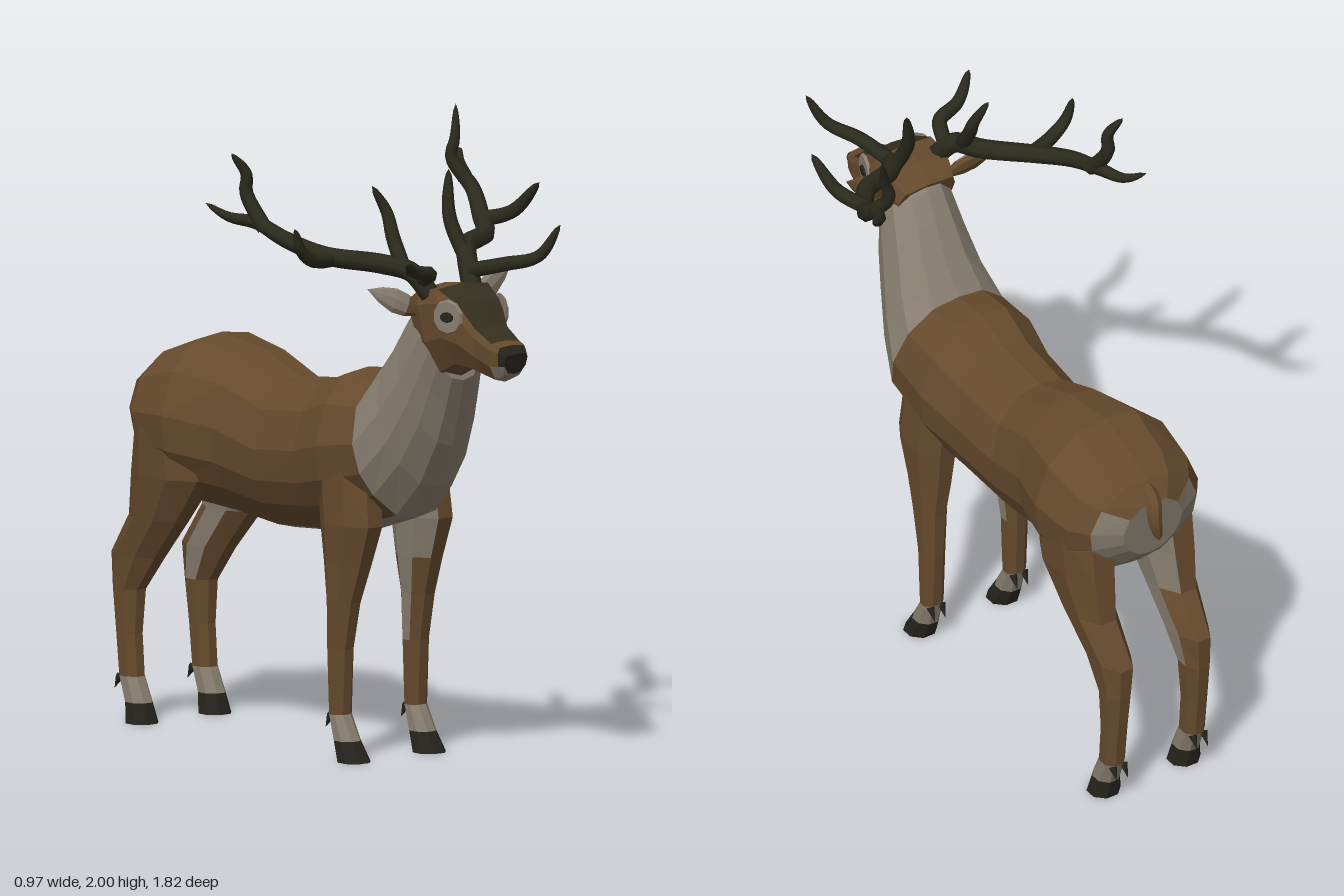
import * as THREE from 'three';

const mat = (name, color, extra = {}) => {
  const m = new THREE.MeshStandardMaterial({ color, ...extra });
  m.name = name;
  return m;
};

// Skin between closed rings of points; paint(i, j) picks a material index per quad
// (i = -1 is the start cap, i = rings.length - 1 the end cap).
function loft(name, rings, mats, paint) {
  const buckets = mats.map(() => []);
  const put = (i, j, ...pts) => pts.forEach(p => buckets[paint(i, j)].push(p.x, p.y, p.z));
  const n = rings[0].length, last = rings.length - 1;
  const centre = r => r.reduce((s, p) => s.add(p), new THREE.Vector3()).divideScalar(n);
  const c0 = centre(rings[0]), c1 = centre(rings[last]);
  for (let j = 0; j < n; j++) {
    const k = (j + 1) % n;
    put(-1, j, c0, rings[0][j], rings[0][k]);
    put(last, j, c1, rings[last][k], rings[last][j]);
    for (let i = 0; i < last; i++) {
      const a = rings[i][j], b = rings[i][k], c = rings[i + 1][k], d = rings[i + 1][j];
      put(i, j, a, d, c, a, c, b);
    }
  }
  const geo = new THREE.BufferGeometry();
  geo.setAttribute('position', new THREE.Float32BufferAttribute(buckets.flat(), 3));
  let start = 0;
  buckets.forEach((b, m) => {
    if (b.length) geo.addGroup(start, b.length / 3, m);
    start += b.length / 3;
  });
  geo.computeVertexNormals();
  const mesh = new THREE.Mesh(geo, mats);
  mesh.name = name;
  return mesh;
}

// Upright ring from a mirrored half profile: [x, topZ, topY, bottomZ, bottomY, halfWidth]
function section(half, [x, tz, ty, bz, by, w]) {
  const mirrored = half.slice(1, -1).reverse().map(([u, v]) => [-u, v]);
  return [...half, ...mirrored].map(([u, v]) => new THREE.Vector3(
    x + u * w, (ty + by) / 2 + v * (ty - by) / 2, (tz + bz) / 2 + v * (tz - bz) / 2));
}

// Tube along points that thins out and ends in a blunt rounded tip
function taperedTube(name, points, radius, material) {
  const curve = new THREE.CatmullRomCurve3(points.map(p => new THREE.Vector3(...p)));
  const steps = points.length * 5, sides = 7;
  const geo = new THREE.TubeGeometry(curve, steps, radius, sides);
  const pos = geo.attributes.position, v = new THREE.Vector3();
  for (let i = 0; i <= steps; i++) {
    const t = i / steps, c = curve.getPointAt(t);
    const s = (1 - 0.45 * t * t) * Math.sqrt(1 - t ** 8);
    for (let j = 0; j <= sides; j++) {
      const id = i * (sides + 1) + j;
      v.fromBufferAttribute(pos, id).sub(c).multiplyScalar(s).add(c);
      pos.setXYZ(id, v.x, v.y, v.z);
    }
  }
  const mesh = new THREE.Mesh(geo, material);
  mesh.name = name;
  return mesh;
}

export function createModel() {
  const model = new THREE.Group();
  model.name = 'stag';
  const brown = mat('brown coat', 0x664a2d, { flatShading: true });
  const pale = mat('pale coat', 0x877d6f, { flatShading: true });
  const dark = mat('dark face', 0x352f1d, { flatShading: true });
  const horn = mat('antler', 0x2a2a1d);
  const black = mat('nose and hoof', 0x25231b, { flatShading: true });
  const coat = [brown, pale, dark, black];

  // Torso and neck, rump to throat
  const bodyHalf = [[0, 1], [0.42, 0.95], [0.82, 0.62], [1, 0.12], [0.95, -0.3], [0.75, -0.62], [0.38, -0.93], [0, -1]];
  const bodyRings = [
    [0, -0.845, 1.09, -0.82, 0.88, 0.11],
    [0, -0.795, 1.145, -0.765, 0.82, 0.20],
    [0, -0.73, 1.185, -0.70, 0.765, 0.247],
    [0, -0.57, 1.245, -0.55, 0.705, 0.26],
    [0, -0.37, 1.215, -0.40, 0.69, 0.205],
    [0, -0.2, 1.15, -0.22, 0.67, 0.19],
    [0, 0, 1.17, 0, 0.685, 0.20],
    [0, 0.13, 1.22, 0.14, 0.70, 0.224],
    [0, 0.255, 1.21, 0.36, 0.77, 0.216],
    [0, 0.33, 1.31, 0.46, 0.88, 0.182],
    [-0.01, 0.40, 1.41, 0.54, 1.02, 0.153],
    [-0.02, 0.46, 1.48, 0.59, 1.15, 0.135],
    [-0.035, 0.52, 1.525, 0.625, 1.24, 0.115],
  ];
  model.add(loft('torso and neck', bodyRings.map(r => section(bodyHalf, r)), coat, (i, j) => {
    const level = Math.min(j, 13 - j);
    if (i >= 8 || i < 0) return 1;
    if (i === 0) return level < 2 ? 0 : 1;
    return level >= (i === 1 ? 4 : i === 2 ? 5 : 6) ? 1 : 0;
  }));

  // Head with dark forehead, pale chin and black nose
  const headHalf = [[0, 1], [0.86, 0.92], [1, 0.6], [0.95, -0.2], [0.6, -0.85], [0, -1]];
  const headRings = [
    [-0.035, 0.47, 1.50, 0.55, 1.28, 0.105],
    [-0.04, 0.54, 1.54, 0.61, 1.25, 0.125],
    [-0.045, 0.63, 1.55, 0.68, 1.285, 0.12],
    [-0.05, 0.71, 1.51, 0.74, 1.285, 0.10],
    [-0.055, 0.775, 1.435, 0.79, 1.275, 0.074],
    [-0.058, 0.85, 1.395, 0.85, 1.265, 0.066],
    [-0.06, 0.885, 1.385, 0.88, 1.28, 0.058],
    [-0.06, 0.91, 1.36, 0.895, 1.295, 0.045],
  ];
  model.add(loft('head', headRings.map(r => section(headHalf, r)), coat, (i, j) => {
    const level = Math.min(j, 9 - j);
    if (i >= 6) return i === 6 && level >= 3 ? 1 : 3;
    if (i === 5 && level >= 3) return 1;
    return i >= 2 && i < 5 && level === 0 ? 2 : 0;
  }));

  // Eyes: pale patch with a dark almond eye
  for (const s of [1, -1]) {
    const eye = new THREE.Group();
    eye.name = s > 0 ? 'left eye' : 'right eye';
    [[0.056, 1, 0, pale, 'eye patch'], [0.025, 0.7, 0.006, black, 'eyeball']].forEach(([r, squash, out, m, name]) => {
      const disc = new THREE.Mesh(new THREE.CylinderGeometry(r * 0.9, r, 0.009, 10), m);
      disc.name = name;
      disc.rotation.x = Math.PI / 2;
      disc.scale.z = squash;
      disc.position.z = out;
      eye.add(disc);
    });
    eye.position.set(-0.048 + s * 0.109, 1.459, 0.69);
    eye.rotation.y = s * (Math.PI / 2 - 0.28);
    model.add(eye);
  }

  // Leaf-shaped ears: brown base and back, pale inside
  const leaf = [[0.018, 0], [0.036, 0.045], [0.04, 0.09], [0.026, 0.14], [0, 0.19]].map(p => new THREE.Vector2(...p));
  const ear = (name, base, tip) => {
    const group = new THREE.Group();
    group.name = name;
    const front = -Math.PI / 2, back = Math.PI / 2;
    [['inner ear', leaf.slice(1), front, pale], ['ear base', leaf.slice(0, 2), front, brown], ['outer ear', leaf, back, brown]]
      .forEach(([part, profile, phi, m]) => {
        const half = new THREE.Mesh(new THREE.LatheGeometry(profile, 4, phi, Math.PI), m);
        half.name = part;
        half.scale.z = 0.45;
        group.add(half);
      });
    const a = new THREE.Vector3(...base), dir = new THREE.Vector3(...tip).sub(a).normalize();
    group.position.copy(a);
    group.quaternion.setFromUnitVectors(new THREE.Vector3(0, 1, 0), dir);
    model.add(group);
  };
  ear('left ear', [0.07, 1.47, 0.55], [0.24, 1.58, 0.545]);
  ear('right ear', [-0.14, 1.46, 0.53], [-0.3, 1.535, 0.48]);

  // Antlers: a beam followed by its tines
  const antlers = {
    left: [
      [[0.04, 1.51, 0.58], [0.07, 1.6, 0.52], [0.13, 1.63, 0.45], [0.245, 1.645, 0.4], [0.335, 1.67, 0.28], [0.39, 1.75, 0.17], [0.365, 1.84, 0.1], [0.38, 1.9, 0.1], [0.41, 2, 0.07]],
      [[0.05, 1.57, 0.56], [0.09, 1.6, 0.68], [0.15, 1.63, 0.77], [0.2, 1.73, 0.815]],
      [[0.08, 1.6, 0.5], [0.075, 1.72, 0.43], [0.105, 1.865, 0.39]],
      [[0.325, 1.67, 0.29], [0.375, 1.7, 0.38], [0.41, 1.8, 0.47]],
      [[0.385, 1.77, 0.15], [0.43, 1.81, 0.06], [0.485, 1.845, 0]],
    ],
    right: [
      [[-0.13, 1.51, 0.58], [-0.16, 1.58, 0.52], [-0.2, 1.6, 0.42], [-0.31, 1.62, 0.28], [-0.36, 1.66, 0.15], [-0.37, 1.7, 0.02], [-0.4, 1.71, -0.08], [-0.44, 1.75, -0.14]],
      [[-0.15, 1.56, 0.56], [-0.18, 1.59, 0.63], [-0.27, 1.61, 0.66], [-0.36, 1.65, 0.735]],
      [[-0.17, 1.58, 0.5], [-0.15, 1.68, 0.42], [-0.14, 1.75, 0.38], [-0.175, 1.835, 0.35]],
      [[-0.3, 1.61, 0.3], [-0.4, 1.62, 0.33], [-0.46, 1.66, 0.34], [-0.485, 1.73, 0.34]],
      [[-0.365, 1.68, 0.06], [-0.375, 1.79, -0.02], [-0.375, 1.85, -0.02], [-0.415, 1.915, -0.045]],
    ],
  };
  for (const [side, branches] of Object.entries(antlers)) {
    const group = new THREE.Group();
    group.name = side + ' antler';
    branches.forEach((pts, i) => group.add(
      taperedTube(i ? 'tine' : 'beam', pts, i ? 0.025 : 0.033, horn)));
    model.add(group);
  }

  // Legs, top to hoof: [x, y, frontZ, backZ, halfWidth]
  const legs = {
    front: [
      [0.135, 0.93, 0.31, 0.08, 0.075], [0.145, 0.75, 0.33, 0.10, 0.07], [0.147, 0.62, 0.285, 0.115, 0.058],
      [0.153, 0.5, 0.245, 0.13, 0.048], [0.155, 0.35, 0.215, 0.135, 0.04], [0.155, 0.145, 0.205, 0.145, 0.036],
      [0.155, 0.065, 0.25, 0.165, 0.04], [0.155, 0, 0.29, 0.19, 0.05],
    ],
    hind: [
      [0.145, 0.97, -0.49, -0.77, 0.1], [0.15, 0.8, -0.475, -0.79, 0.087], [0.15, 0.66, -0.585, -0.81, 0.067],
      [0.145, 0.53, -0.70, -0.905, 0.055], [0.148, 0.42, -0.785, -0.9, 0.045], [0.15, 0.28, -0.795, -0.885, 0.038],
      [0.15, 0.145, -0.785, -0.87, 0.037], [0.15, 0.065, -0.75, -0.84, 0.04], [0.15, 0, -0.73, -0.83, 0.05],
    ],
  };
  const flat = 1 / Math.cos(Math.PI / 8);
  for (const [end, rows] of Object.entries(legs)) for (const s of [1, -1]) {
    const name = `${end} ${s > 0 ? 'left' : 'right'} leg`;
    const rings = rows.map(([x, y, zf, zb, w]) => Array.from({ length: 8 }, (_, j) => {
      const a = (j + 0.5) * Math.PI / 4;
      return new THREE.Vector3(s * x + flat * w * Math.sin(a), y, (zf + zb) / 2 + flat * Math.cos(a) * (zf - zb) / 2);
    }));
    const n = rows.length;
    model.add(loft(name, rings, coat, (i, j) => {
      if (i >= n - 2) return 3;
      if (i === n - 3) return 1;
      const inward = -s * Math.sin((j + 1) * Math.PI / 4);
      return i < 4 && inward > (i < 2 ? 0.5 : 0.9) ? 1 : 0;
    }));
    // Dewclaws behind the pastern
    const [x, y, , zb] = rows[n - 3];
    for (const d of [-0.02, 0.02]) {
      const claw = new THREE.Mesh(new THREE.ConeGeometry(0.014, 0.05, 5), black);
      claw.name = 'dewclaw';
      claw.position.set(s * x + d, y - 0.025, zb - 0.005);
      claw.rotation.x = -2.6;
      model.add(claw);
    }
  }

  // Tail
  model.add(taperedTube('tail', [[0, 1.11, -0.79], [0.01, 1.095, -0.85], [0.02, 1.05, -0.872], [0.01, 0.97, -0.885]], 0.028, brown));
  return model;
}
